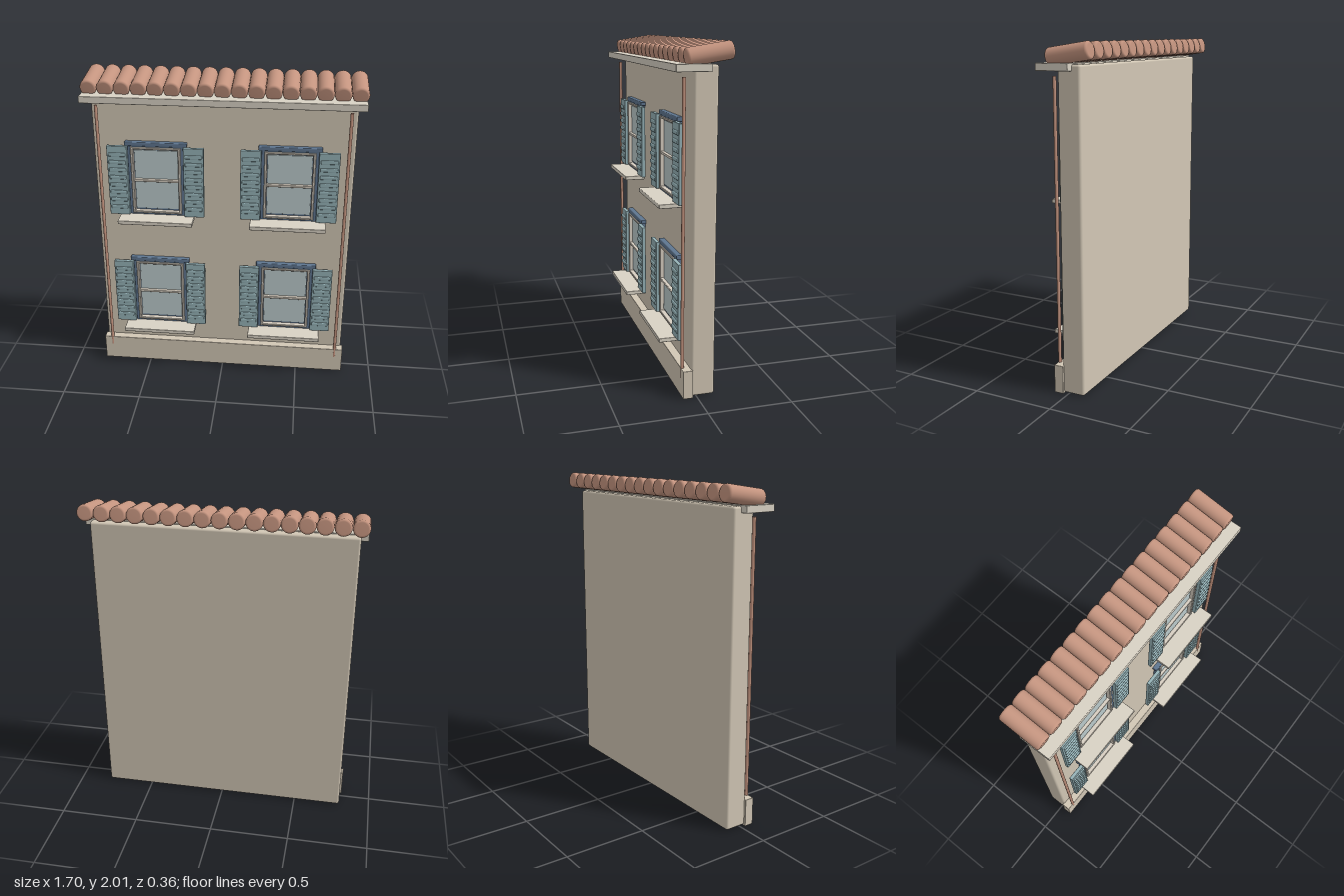
import * as THREE from 'three';
import { RoundedBoxGeometry } from 'three/addons/geometries/RoundedBoxGeometry.js';

const mat = (color) => new THREE.MeshStandardMaterial({ color });
const plaster = mat(0xd2c7b5), stone = mat(0xd9d2c4), clay = mat(0xc4947f);
const blue = mat(0x5f7690), teal = mat(0x96b3b8), glassMat = mat(0xbccbcc), cream = mat(0xd8cfc2);

// Softened box given by its limits on each axis
function block(name, material, [x0, x1], [y0, y1], [z0, z1], r = 0.004) {
  const geo = new RoundedBoxGeometry(x1 - x0, y1 - y0, z1 - z0, 2, r);
  const mesh = new THREE.Mesh(geo, material);
  mesh.name = name;
  mesh.position.set((x0 + x1) / 2, (y0 + y1) / 2, (z0 + z1) / 2);
  return mesh;
}

// Rectangular ring centred on the origin, front face at z = depth
function ring(name, material, w, h, innerW, innerH, depth) {
  const rect = (target, a, b) => {
    target.moveTo(-a / 2, -b / 2);
    target.lineTo(a / 2, -b / 2);
    target.lineTo(a / 2, b / 2);
    target.lineTo(-a / 2, b / 2);
    target.closePath();
    return target;
  };
  const shape = rect(new THREE.Shape(), w, h);
  shape.holes.push(rect(new THREE.Path(), innerW, innerH));
  const bevel = 0.003;
  const geo = new THREE.ExtrudeGeometry(shape, {
    depth: depth - bevel, bevelThickness: bevel, bevelSize: bevel, bevelOffset: -bevel, bevelSegments: 1,
  });
  const mesh = new THREE.Mesh(geo, material);
  mesh.name = name;
  return mesh;
}

// Louvred shutter, centred on x = 0
function makeShutter() {
  const shutter = new THREE.Group();
  shutter.name = 'shutter';
  shutter.add(block('shutterPanel', teal, [-0.063, 0.063], [-0.228, 0.228], [0.064, 0.088], 0.003));
  for (let i = 0; i < 8; i++) {
    const y = -0.174 + i * 0.0497;
    shutter.add(block('louvre', teal, [-0.053, 0.053], [y - 0.012, y + 0.012], [0.08, 0.096], 0.006));
  }
  return shutter;
}

// Window with surround, sashes, sill and two shutters, centred on the sash
function makeWindow() {
  const win = new THREE.Group();
  win.name = 'window';
  win.add(block('backing', blue, [-0.17, 0.17], [-0.235, 0.235], [0.025, 0.044]));
  const surround = ring('surround', blue, 0.35, 0.48, 0.3, 0.43, 0.035);
  surround.position.z = 0.03;
  win.add(surround);
  win.add(block('lintel', blue, [-0.193, 0.193], [0.224, 0.25], [0.03, 0.067], 0.006));

  const sash = ring('sashFrame', cream, 0.31, 0.44, 0.278, 0.412, 0.036);
  sash.position.z = 0.038;
  win.add(sash);
  win.add(block('glass', glassMat, [-0.135, 0.135], [-0.195, 0.195], [0.038, 0.05], 0.002));
  win.add(block('meetingRail', cream, [-0.142, 0.142], [-0.008, 0.008], [0.042, 0.07]));
  win.add(block('sill', stone, [-0.234, 0.234], [-0.255, -0.23], [0.05, 0.182]));

  for (const side of [-1, 1]) {
    const shutter = makeShutter();
    shutter.position.x = side * 0.236;
    win.add(shutter);
  }
  return win;
}

// Barrel tile with softened rims, lying along z
function makeTileGeometry() {
  const r = 0.05, h = 0.13, b = 0.014;
  const pts = [new THREE.Vector2(0, -h)];
  const arc = (cy, a0) => {
    for (let i = 0; i <= 4; i++) {
      const a = a0 + (i / 4) * Math.PI / 2;
      pts.push(new THREE.Vector2(r - b + b * Math.cos(a), cy + b * Math.sin(a)));
    }
  };
  arc(-h + b, -Math.PI / 2);
  arc(h - b, 0);
  pts.push(new THREE.Vector2(0, h));
  return new THREE.LatheGeometry(pts, 28).rotateX(Math.PI / 2);
}

export function createModel() {
  const house = new THREE.Group();
  house.name = 'townhouseFacade';
  const body = new THREE.Group();
  body.name = 'facade';
  body.position.x = -0.002;
  house.add(body);

  // Wall, plinth and cornice
  body.add(block('wall', plaster, [-0.8, 0.8], [0.006, 1.885], [-0.105, 0.034], 0.014));
  body.add(block('plinth', plaster, [-0.812, 0.812], [0, 0.17], [0.026, 0.085]));
  body.add(block('cornice', stone, [-0.843, 0.843], [1.85, 1.892], [-0.055, 0.146]));

  // Windows on two floors
  for (const y of [0.543, 1.34]) {
    for (const x of [-0.411, 0.411]) {
      const win = makeWindow();
      win.position.set(x, y, 0);
      body.add(win);
    }
  }

  // Downpipes
  for (const side of [-1, 1]) {
    const pipe = new THREE.Mesh(new THREE.CylinderGeometry(0.01, 0.01, 1.71, 16), clay);
    pipe.name = 'downpipe';
    pipe.position.set(side * 0.759, 0.965, 0.077);
    body.add(pipe);
  }

  // Row of roof tiles, rising towards the back
  const tileGeo = makeTileGeometry();
  for (let i = 0; i < 17; i++) {
    const tile = new THREE.Mesh(tileGeo, clay);
    tile.name = 'roofTile';
    tile.position.set(-0.8 + i * 0.1, 1.942, -0.046);
    tile.rotation.x = 0.15;
    house.add(tile);
  }
  return house;
}
